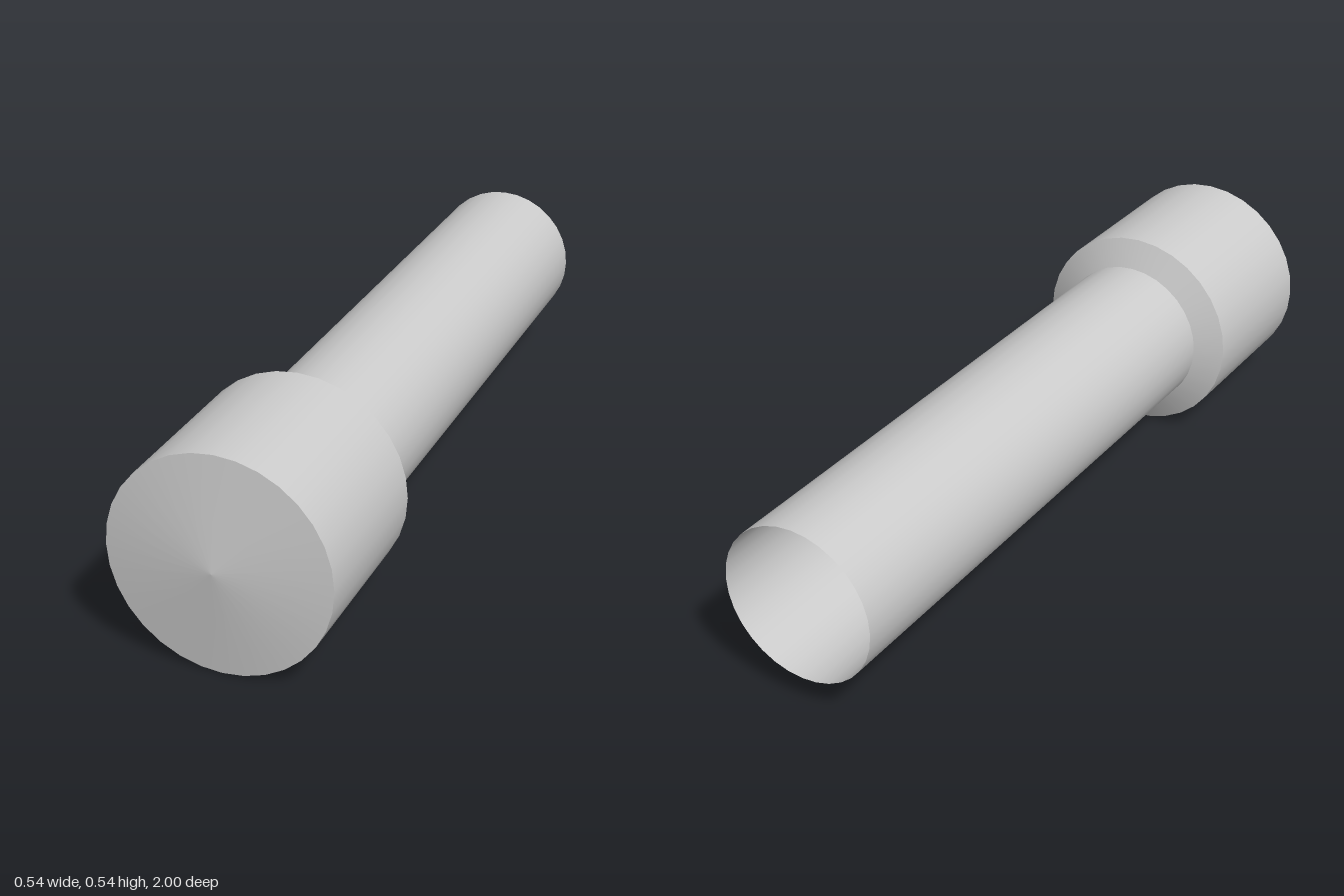
import * as THREE from 'three';

const SIDES = 32;
const HEAD_RADIUS = 0.272;
const SHAFT_RADIUS = 0.199;

export function createModel() {
  const group = new THREE.Group();
  const material = new THREE.MeshStandardMaterial({ color: 0xcccccc, side: THREE.DoubleSide });

  // One turned section along z, given as [radius, z] at its back and front ends
  function addSection(name, back, front) {
    const profile = [new THREE.Vector2(...back), new THREE.Vector2(...front)];
    const geometry = new THREE.LatheGeometry(profile, SIDES);
    geometry.rotateX(Math.PI / 2);
    const mesh = new THREE.Mesh(geometry, material);
    mesh.name = name;
    mesh.position.y = HEAD_RADIUS;
    group.add(mesh);
  }

  // Hollow handle, open at the back
  addSection('shaft', [SHAFT_RADIUS, -1], [SHAFT_RADIUS, 0.5]);
  // Sloped shoulder between handle and head
  addSection('shoulder', [SHAFT_RADIUS, 0.5], [HEAD_RADIUS, 0.533]);
  // Wide head with a shallow pointed face
  addSection('head', [HEAD_RADIUS, 0.533], [HEAD_RADIUS, 0.967]);
  addSection('headFace', [HEAD_RADIUS, 0.967], [0, 1]);

  return group;
}
